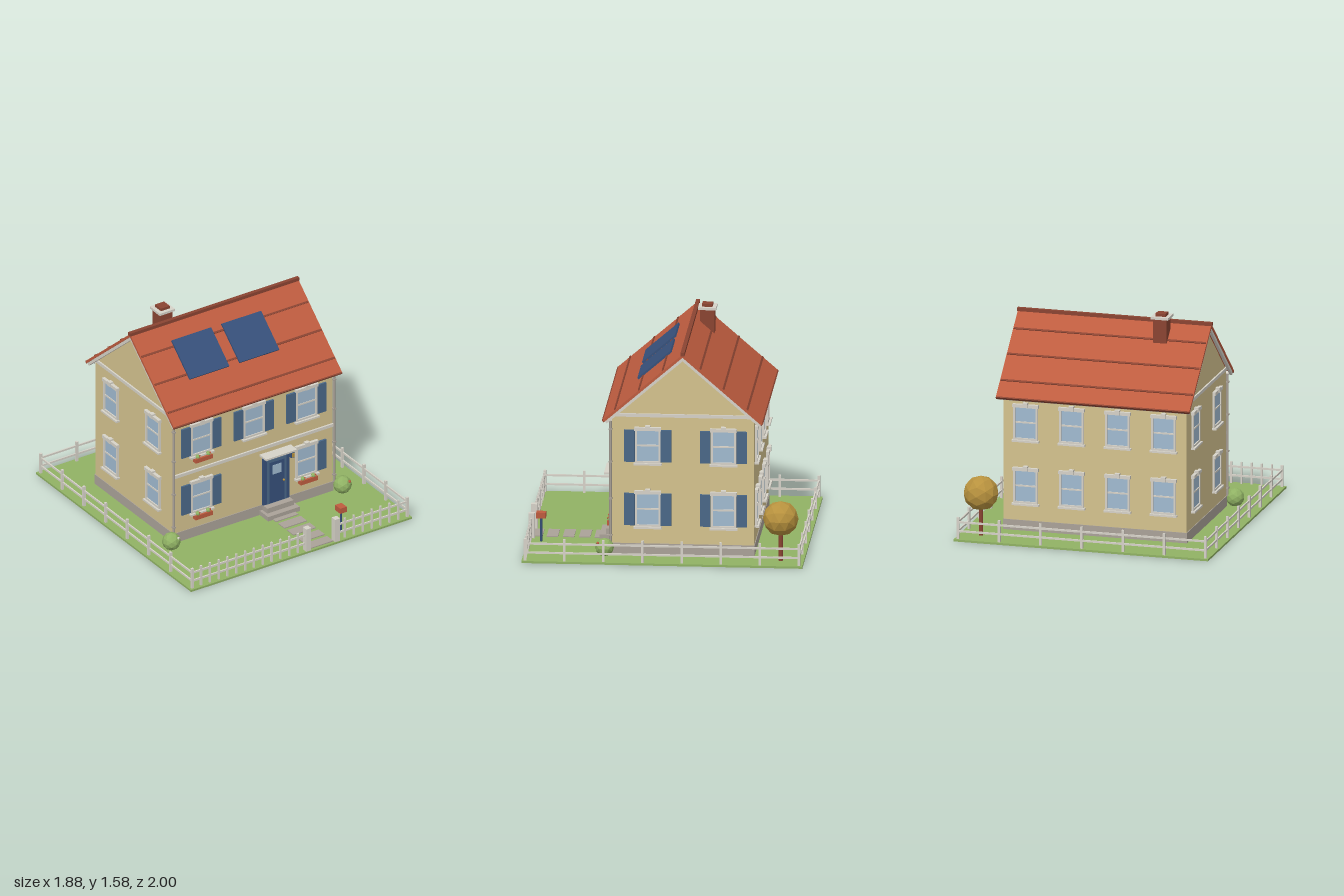
import * as THREE from 'three';

const mat = (name, color) => {
  const m = new THREE.MeshStandardMaterial({ color });
  m.name = name;
  return m;
};

export function createModel() {
  const green = mat('leaf green', 0x90b264);
  const cream = mat('cream wall', 0xd4c28e);
  const trim = mat('pale trim', 0xd6d2c8);
  const tile = mat('terracotta', 0xbe5c3f);
  const brick = mat('dark brick', 0x8a4432);
  const blue = mat('shutter blue', 0x4a6888);
  const navy = mat('navy', 0x36507a);
  const glass = mat('window glass', 0xa0bad0);
  const stone = mat('stone', 0xaaa298);
  const gold = mat('autumn gold', 0xb8923e);

  const model = new THREE.Group();
  model.name = 'house';

  const add = (parent, name, geo, material, x, y, z) => {
    const m = new THREE.Mesh(geo, material);
    m.name = name;
    m.position.set(x, y, z);
    parent.add(m);
    return m;
  };
  const box = (parent, name, material, w, h, d, x, y, z) =>
    add(parent, name, new THREE.BoxGeometry(w, h, d), material, x, y, z);
  const rod = (parent, name, material, r, h, x, y, z) =>
    add(parent, name, new THREE.CylinderGeometry(r, r, h, 8), material, x, y, z);
  const ball = (parent, name, material, r, detail, x, y, z) => {
    const g = new THREE.IcosahedronGeometry(r, detail);
    g.computeVertexNormals(); // faceted foliage
    return add(parent, name, g, material, x, y, z);
  };
  const group = (parent, name, x = 0, y = 0, z = 0, ry = 0) => {
    const g = new THREE.Group();
    g.name = name;
    g.position.set(x, y, z);
    g.rotation.y = ry;
    parent.add(g);
    return g;
  };

  const W = 0.675, FRONT = 0.375, BACK = -0.636, RIDGE = -0.13;

  // Lawn, foundation and the gabled body
  box(model, 'lawn', green, 1.88, 0.015, 2, 0, 0.0075, 0);
  box(model, 'foundation', stone, 2 * W + 0.01, 0.077, FRONT - BACK + 0.01, 0, 0.0525, (FRONT + BACK) / 2);
  const gable = new THREE.Shape([
    [-FRONT, 0.09], [-BACK, 0.09], [-BACK, 1.025], [-RIDGE, 1.46], [-FRONT, 1.025],
  ].map(([a, b]) => new THREE.Vector2(a, b)));
  const bodyGeo = new THREE.ExtrudeGeometry(gable, { depth: 2 * W, bevelEnabled: false });
  bodyGeo.translate(0, 0, -W).rotateY(Math.PI / 2);
  add(model, 'walls', bodyGeo, cream, 0, 0, 0);

  // Roof slopes with seams, eave fascia and bargeboards
  const pitch = Math.atan2(0.495, 0.57), len = 0.755, c = Math.cos(pitch);
  const slope = (name, ry, seams) => {
    const side = group(model, name, 0, 1.497, RIDGE, ry);
    const s = group(side, name + 'Plane');
    s.rotation.x = pitch;
    box(s, 'roofTiles', tile, 1.43, 0.018, len, 0, -0.009, len / 2);
    for (const run of seams) box(s, 'roofSeam', brick, 1.42, 0.008, 0.014, 0, 0.002, run / c);
    box(s, 'eaveEdge', brick, 1.43, 0.02, 0.01, 0, -0.009, len);
    box(s, 'fascia', trim, 1.40, 0.02, 0.015, 0, -0.027, len - 0.012);
    for (const x of [-0.7, 0.7]) box(s, 'bargeboard', trim, 0.02, 0.022, len - 0.01, x, -0.028, len / 2);
    return s;
  };
  const frontSlope = slope('frontRoof', 0, [0.14, 0.31, 0.48]);
  slope('backRoof', Math.PI, [0.125, 0.29, 0.46]);
  for (const x of [-0.268, 0.157])
    box(frontSlope, 'solarPanel', navy, 0.335, 0.016, 0.235 / c, x, 0.006, 0.225 / c);
  box(model, 'ridgeCap', brick, 1.44, 0.025, 0.028, 0, 1.497, RIDGE);

  // Chimney
  box(model, 'chimneyStack', brick, 0.1, 0.27, 0.105, -0.375, 1.41, -0.225);
  box(model, 'chimneyCap', trim, 0.13, 0.018, 0.13, -0.375, 1.552, -0.225);
  box(model, 'chimneyPot', brick, 0.075, 0.02, 0.075, -0.375, 1.571, -0.225);

  // Wall faces, each facing its own +z
  const front = group(model, 'frontFace', 0, 0, FRONT, 0);
  const back = group(model, 'backFace', 0, 0, BACK, Math.PI);
  const left = group(model, 'leftFace', W, 0, 0, Math.PI / 2);
  const right = group(model, 'rightFace', -W, 0, 0, -Math.PI / 2);

  // Sash window with optional shutters on sides -1 and 1
  const addWindow = (face, u, v, shutters = []) => {
    const w = group(face, 'window', u, v, 0);
    box(w, 'glass', glass, 0.165, 0.24, 0.01, 0, 0, 0.002);
    for (const s of [-1, 1]) box(w, 'frameSide', trim, 0.014, 0.25, 0.018, s * 0.083, 0, 0.007);
    box(w, 'sashBar', trim, 0.16, 0.012, 0.014, 0, 0.004, 0.005);
    box(w, 'frameFoot', trim, 0.17, 0.014, 0.018, 0, -0.118, 0.007);
    box(w, 'lintel', trim, 0.19, 0.024, 0.026, 0, 0.126, 0.011);
    box(w, 'keystone', trim, 0.035, 0.034, 0.034, 0, 0.134, 0.014);
    box(w, 'sill', trim, 0.2, 0.014, 0.034, 0, -0.132, 0.014);
    for (const s of shutters) box(w, 'shutter', blue, 0.075, 0.235, 0.016, s * 0.13, 0, 0.007);
  };
  const both = [-1, 1];
  for (const v of [0.343, 0.81]) {
    for (const z of [0.12, -0.42]) {
      addWindow(left, -z, v, both);
      addWindow(right, z, v);
    }
    for (const x of [-0.51, -0.17, 0.17, 0.51]) addWindow(back, x, v);
  }
  for (const x of [-0.447, 0, 0.447]) addWindow(front, x, 0.81, both);
  addWindow(front, -0.447, 0.343, both);
  addWindow(front, 0.447, 0.343, [1]);

  // Trim bands and downpipes
  box(front, 'floorBand', trim, 2 * W, 0.024, 0.016, 0, 0.557, 0.006);
  for (const f of [left, right])
    box(f, 'gableBand', trim, FRONT - BACK, 0.024, 0.016, f === left ? 0.13 : -0.13, 1.035, 0.004);
  for (const s of both) {
    rod(front, 'downpipe', stone, 0.009, 0.9, s * 0.682, 0.54, 0.01);
    for (const y of [0.15, 0.42, 0.69, 0.93]) box(front, 'pipeClip', stone, 0.024, 0.012, 0.024, s * 0.682, y, 0.01);
  }

  // Flower boxes
  for (const [x, y] of [[-0.447, 0.655], [-0.447, 0.19], [0.447, 0.19]]) {
    const p = group(front, 'flowerBox', x, y, 0.03);
    box(p, 'planter', tile, 0.145, 0.032, 0.036, 0, 0, 0);
    for (const s of both) ball(p, 'plant', green, 0.017, 1, s * 0.045, 0.024, 0);
    for (const u of [-0.035, 0.055]) ball(p, 'blossom', tile, 0.007, 0, u, 0.034, 0.012);
  }

  // Front door, lamp, canopy and steps
  const door = group(front, 'frontDoor', 0.187, 0, 0);
  box(door, 'doorFrame', navy, 0.225, 0.385, 0.02, 0, 0.282, 0.008);
  box(door, 'doorLeaf', blue, 0.165, 0.355, 0.012, 0, 0.268, 0.015);
  box(door, 'doorPanel', navy, 0.125, 0.33, 0.006, 0, 0.26, 0.0205);
  box(door, 'doorGlass', glass, 0.075, 0.075, 0.008, 0, 0.362, 0.022);
  ball(door, 'doorKnob', gold, 0.009, 1, 0.056, 0.255, 0.028);
  box(door, 'canopy', trim, 0.265, 0.014, 0.085, 0, 0.5, 0.042);
  box(front, 'lampBracket', navy, 0.028, 0.05, 0.02, 0.325, 0.43, 0.01);
  box(front, 'lampGlow', gold, 0.016, 0.03, 0.02, 0.325, 0.427, 0.016);
  box(model, 'upperStep', stone, 0.225, 0.075, 0.08, 0.187, 0.0525, 0.405);
  box(model, 'lowerStep', stone, 0.27, 0.035, 0.12, 0.187, 0.0325, 0.43);

  // Path stones
  for (const z of [0.49, 0.6, 0.715, 0.83, 0.94])
    box(model, 'pathStone', stone, 0.19, 0.008, 0.08, 0.187, 0.018, z);

  // Letter box
  rod(model, 'letterPost', navy, 0.008, 0.18, 0.4, 0.105, 0.9);
  box(model, 'letterBox', tile, 0.055, 0.042, 0.068, 0.4, 0.21, 0.9);

  // Fence: posts and two rails on three sides, pickets and gate at the front
  const fence = group(model, 'fence');
  const FX = 0.915, FZ = 0.975;
  const post = (x, z, t = 0.018) => box(fence, 'fencePost', trim, t, 0.16, t, x, 0.094, z);
  for (const y of [0.072, 0.138]) {
    for (const s of both) box(fence, 'sideRail', trim, 0.01, 0.014, 2 * FZ, s * FX, y, 0);
    box(fence, 'backRail', trim, 2 * FX, 0.014, 0.01, 0, y, -FZ);
    for (const [a, b] of [[-FX, 0.06], [0.305, FX]])
      box(fence, 'frontRail', trim, b - a, 0.014, 0.01, (a + b) / 2, y, FZ);
  }
  for (let i = 0; i <= 7; i++) for (const s of both) post(s * FX, -FZ + (i * 2 * FZ) / 7);
  for (let i = 1; i < 6; i++) post(-FX + (i * 2 * FX) / 6, -FZ);
  for (let i = 1; i <= 12; i++) post(-FX + i * 0.075, FZ, 0.013);
  for (let i = 1; i <= 7; i++) post(FX - i * 0.076, FZ, 0.013);
  for (const x of [0.062, 0.308]) box(fence, 'gatePost', trim, 0.042, 0.185, 0.045, x, 0.105, FZ);

  // Tree and bushes
  rod(model, 'treeTrunk', brick, 0.016, 0.22, 0.785, 0.12, -0.835);
  ball(model, 'treeCrown', gold, 0.127, 1, 0.785, 0.325, -0.835);
  for (const s of both) {
    const b = group(model, 'bush', s * 0.728, 0.072, 0.424);
    ball(b, 'bushLeaves', green, 0.067, 1, 0, 0, 0);
    ball(b, 'bushFlower', s > 0 ? tile : trim, 0.012, 0, 0.03, 0.035, 0.045);
  }
  return model;
}
